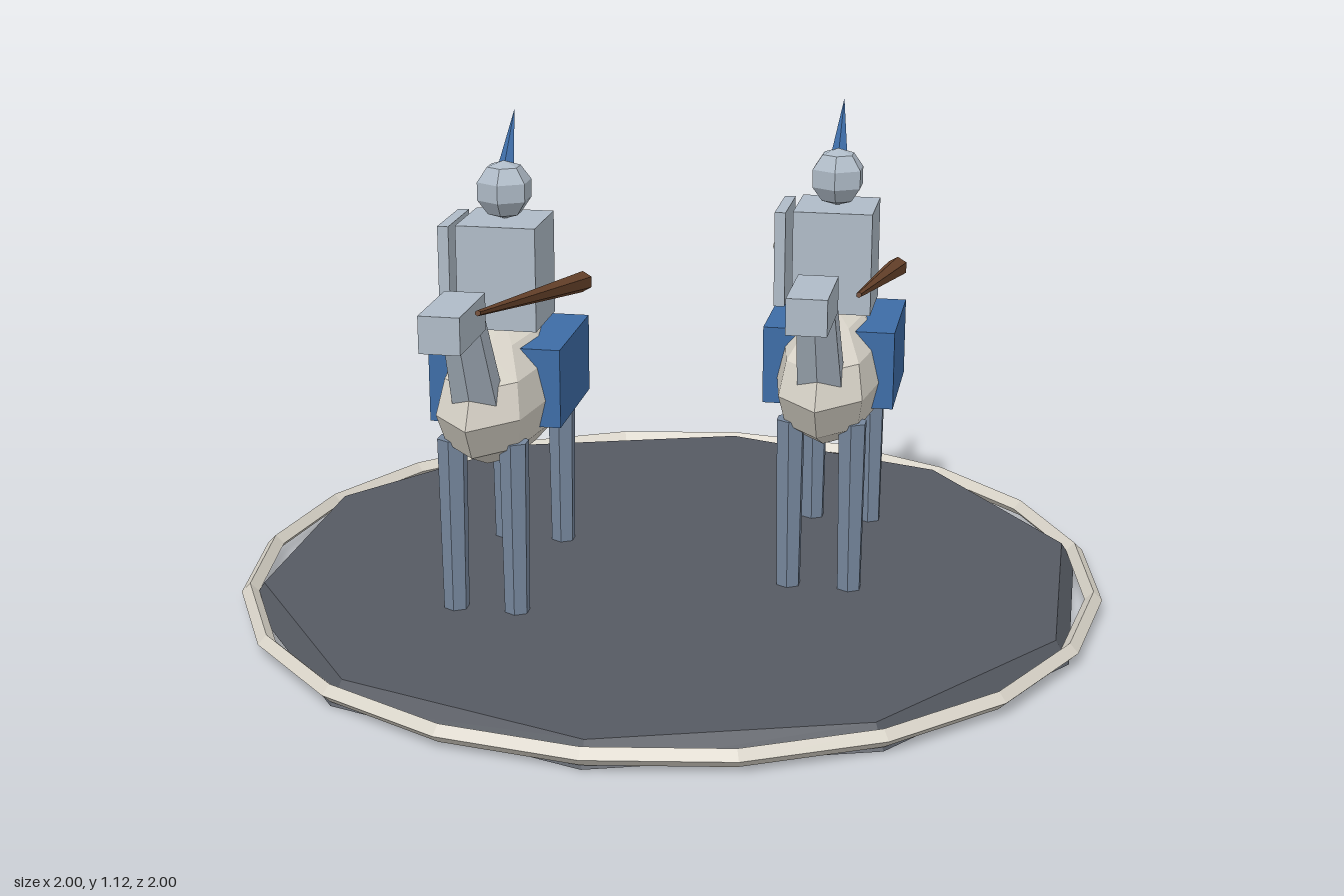
import * as THREE from 'three';

const mat = (name, color) => {
  const m = new THREE.MeshStandardMaterial({ color, flatShading: true });
  m.name = name;
  return m;
};

export function createModel() {
  const slate = mat('slate', 0x565a62);
  const cream = mat('cream', 0xd8d3c8);
  const steel = mat('pale steel', 0xafbbc7);
  const blueGrey = mat('blue grey', 0x76879d);
  const blue = mat('blue', 0x3d6ca6);
  const wood = mat('brown wood', 0x6b452c);

  const add = (parent, name, geo, material, x = 0, y = 0, z = 0) => {
    const mesh = new THREE.Mesh(geo, material);
    mesh.name = name;
    mesh.position.set(x, y, z);
    parent.add(mesh);
    return mesh;
  };

  // Tapered rod from point a (radius ra) to point b (radius rb)
  const rod = (parent, name, material, a, b, ra, rb, sides) => {
    const from = new THREE.Vector3(...a), to = new THREE.Vector3(...b);
    const dir = to.clone().sub(from);
    const mesh = add(parent, name, new THREE.CylinderGeometry(rb, ra, dir.length(), sides), material);
    mesh.position.copy(from).add(to).multiplyScalar(0.5);
    mesh.quaternion.setFromUnitVectors(new THREE.Vector3(0, 1, 0), dir.normalize());
    return mesh;
  };

  const box = (w, h, d) => new THREE.BoxGeometry(w, h, d);

  function mountedRider() {
    const g = new THREE.Group();
    g.name = 'mountedRider';

    // Horse
    const body = new THREE.SphereGeometry(1, 8, 6);
    body.scale(0.133, 0.15, 0.352);
    add(g, 'horseBody', body, cream, 0, 0.512, 0);
    for (const x of [-0.07, 0.07]) {
      for (const z of [0.21, -0.245]) {
        rod(g, 'leg', blueGrey, [x, 0.05, z], [x, 0.45, z], 0.029, 0.034, 6);
      }
    }
    rod(g, 'neck', steel, [0, 0.54, 0.238], [0, 0.79, 0.363], 0.058, 0.046, 6);
    add(g, 'horseHead', box(0.088, 0.08, 0.2), steel, 0, 0.775, 0.425);
    rod(g, 'tail', wood, [0, 0.57, -0.345], [0, 0.337, -0.455], 0.034, 0.012, 5);
    add(g, 'saddleCloth', box(0.3, 0.18, 0.297), blue, 0, 0.54, -0.043);

    // Rider
    add(g, 'torso', box(0.18, 0.235, 0.182), steel, 0, 0.777, -0.018);
    const head = new THREE.SphereGeometry(0.066, 6, 5);
    head.rotateY(Math.PI / 2);
    add(g, 'helmet', head, steel, 0, 0.96, -0.018);
    rod(g, 'plume', blue, [0, 0.99, -0.03], [0, 1.122, -0.122], 0.022, 0, 5);

    // Shield with a pointed boss on the right arm
    add(g, 'shield', box(0.025, 0.22, 0.175), steel, -0.12, 0.78, -0.02);
    rod(g, 'shieldBoss', cream, [-0.13, 0.79, -0.02], [-0.148, 0.79, -0.02], 0.045, 0, 4);

    // Lance on the left side
    rod(g, 'lance', wood, [0.122, 0.693, -0.253], [0.122, 0.868, 0.666], 0.025, 0.006, 6);
    return g;
  }

  const model = new THREE.Group();
  model.name = 'jousters';

  // Round base with a rim
  add(model, 'baseDisc', new THREE.CylinderGeometry(0.948, 0.98, 0.05, 10), slate, 0, 0.025, 0);
  const rim = new THREE.TorusGeometry(0.98, 0.02, 4, 20);
  rim.rotateX(Math.PI / 2);
  add(model, 'baseRim', rim, cream, 0, 0.03, 0);

  // Two staggered riders
  for (const s of [-1, 1]) {
    const rider = mountedRider();
    rider.position.set(0.357 * s, 0, -0.135 * s);
    model.add(rider);
  }
  return model;
}
